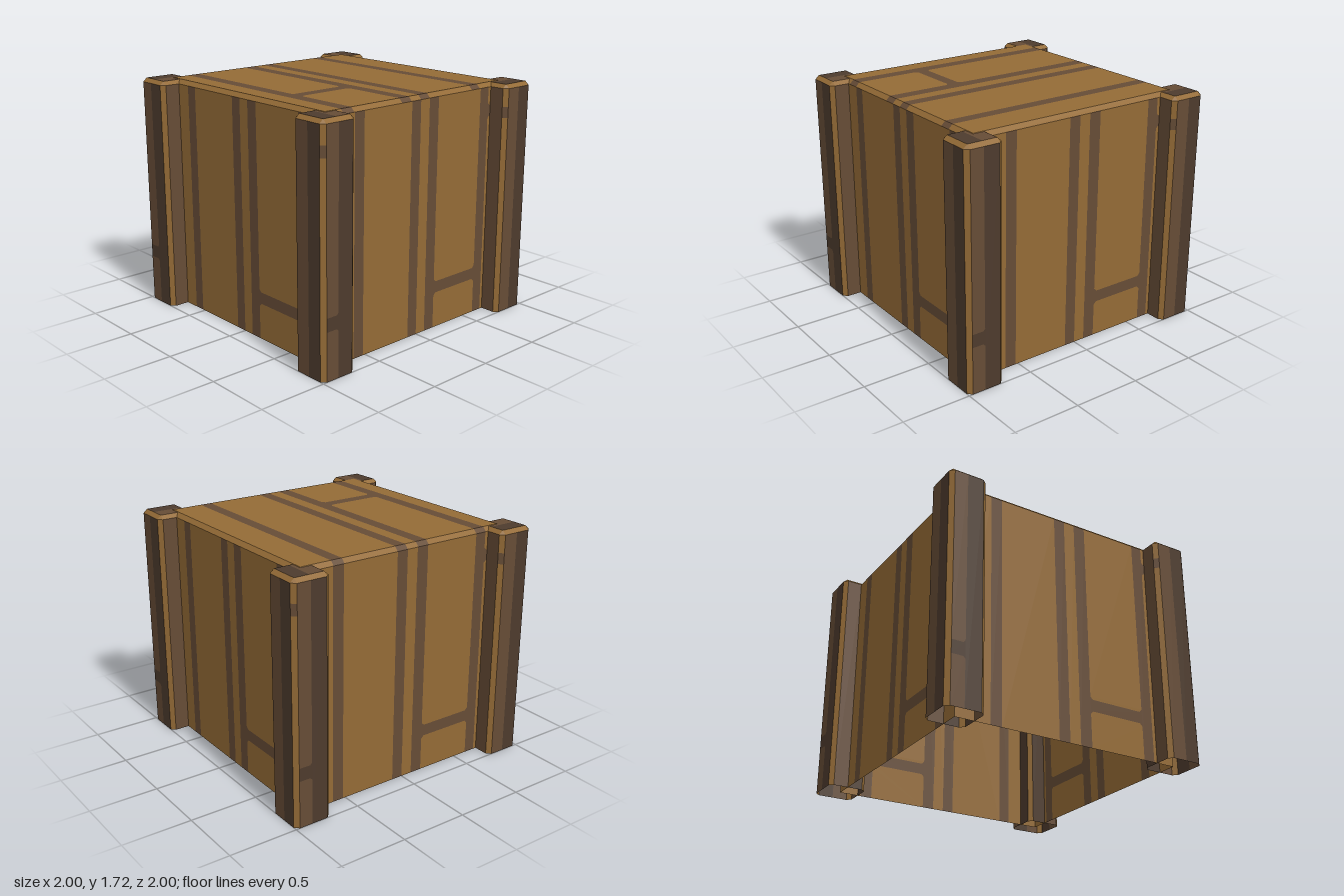
import * as THREE from 'three';
import { mergeGeometries } from 'three/addons/utils/BufferGeometryUtils.js';

const HALF = 0.86, FLAT = 0.83;      // body half width, half width of flat lid
const TOP = 1.72, RIM = 1.69;        // lid height, start of the top bevel
const P = 0.14, PI = 0.11;           // post half width, half width inside the chamfers

// Collects flat convex faces per colour and turns them into named meshes.
function makePart(name, mats) {
  const lists = {};
  const face = (colour, pts) => {
    const pos = [];
    for (let i = 1; i < pts.length - 1; i++) pos.push(...pts[0], ...pts[i], ...pts[i + 1]);
    const g = new THREE.BufferGeometry();
    g.setAttribute('position', new THREE.Float32BufferAttribute(pos, 3));
    g.computeVertexNormals();
    (lists[colour] ??= []).push(g);
  };
  const finish = () => {
    const group = new THREE.Group();
    group.name = name;
    for (const [colour, geos] of Object.entries(lists)) {
      const mesh = new THREE.Mesh(mergeGeometries(geos), mats[colour]);
      mesh.name = name + '_' + colour;
      group.add(mesh);
    }
    return group;
  };
  return { face, finish };
}

// Rectangle in a plane; "cut" trims the corners [bottom-left, bottom-right, top-right, top-left].
function panel(part, colour, place, u0, v0, u1, v1, cut = [0, 0, 0, 0]) {
  const [a, b, c, d] = cut, pts = [];
  const corner = (k, p, q) => (k ? pts.push(p, q) : pts.push(p));
  corner(a, [u0, v0 + a], [u0 + a, v0]);
  corner(b, [u1 - b, v0], [u1, v0 + b]);
  corner(c, [u1, v1 - c], [u1 - c, v1]);
  corner(d, [u0 + d, v1], [u0, v1 - d]);
  part.face(colour, pts.map(([u, v]) => place(u, v)));
}

// Column between two grooves, crossed by a bar whose inner corners are filled.
function barredPanel(part, wood, bar, place, u0, u1, v0, v1, b0, b1, cl, cr) {
  panel(part, wood, place, u0, v0, u1, b0, [0, 0, cr, cl]);
  panel(part, bar, place, u0, b0, u1, b1);
  panel(part, wood, place, u0, b1, u1, v1, [cl, cr, 0, 0]);
  for (const [u, c] of [[u0, cl], [u1, -cr]]) {
    if (!c) continue;
    const k = Math.abs(c);
    part.face(bar, [[u, b0], [u, b0 - k], [u + c, b0]].map(([x, y]) => place(x, y)));
    part.face(bar, [[u, b1], [u + c, b1], [u, b1 + k]].map(([x, y]) => place(x, y)));
  }
}

// One wall of planks with grooves between them
function makeWall(mats) {
  const part = makePart('wall', mats);
  const place = (x, y) => [x, y, HALF];
  const grooves = [[-0.605, -0.52], [-0.085, 0], [0.085, 0.175], [0.61, 0.695]];
  for (const [a, b] of grooves) panel(part, 'groove', place, a, 0, b, RIM);
  for (const [a, b] of [[-HALF, -0.605], [-0.52, -0.085], [0, 0.085]]) panel(part, 'wood', place, a, 0, b, RIM);
  barredPanel(part, 'wood', 'groove', place, 0.175, 0.61, 0, RIM, 0.265, 0.35, 0.02, 0.02);
  barredPanel(part, 'wood', 'groove', place, 0.695, HALF, 0, RIM, 1.48, 1.56, 0.015, 0);
  return part.finish();
}

// Lid with grooves that run over the front and back bevels
function makeLid(mats) {
  const part = makePart('lid', mats);
  const place = (x, v) => [x, TOP, -v];
  const edges = [-FLAT, -0.70, -0.61, -0.18, -0.09, 0, 0.085, 0.515, 0.6, FLAT];
  for (let i = 0; i < edges.length - 1; i++) {
    const a = edges[i], b = edges[i + 1];
    const colour = i % 2 ? 'groove' : 'wood';
    if (i === 2) barredPanel(part, 'wood', 'groove', place, a, b, -FLAT, FLAT, -0.345, -0.26, 0.02, 0.02);
    else panel(part, colour, place, a, -FLAT, b, FLAT);
    part.face(colour, [[a, RIM, HALF], [b, RIM, HALF], [b, TOP, FLAT], [a, TOP, FLAT]]);
    part.face(colour, [[b, RIM, -HALF], [a, RIM, -HALF], [a, TOP, -FLAT], [b, TOP, -FLAT]]);
  }
  for (const s of [-1, 1]) {
    const bevel = [[s * HALF, RIM, s * HALF], [s * HALF, RIM, -s * HALF], [s * FLAT, TOP, -s * FLAT], [s * FLAT, TOP, s * FLAT]];
    part.face('wood', bevel);
  }
  return part.finish();
}

// Hollow chamfered corner post, open at the bottom
function makePost(mats, outerBand) {
  const part = makePart('cornerPost', mats);
  const topY = TOP - 0.003;
  const front = (u, y) => [u, y, P];
  const right = (u, y) => [P, y, -u];
  const back = (u, y) => [-u, y, -P];
  const left = (u, y) => [-P, y, u];

  // Front face with a short crossbar, other faces in two tones
  barredPanel(part, 'groove', 'darkWood', front, -PI, -0.01, 0, RIM, 0.345, 0.44, 0, 0.015);
  panel(part, 'darkWood', front, -0.01, 0, PI, RIM);
  for (const [place, a, b] of [[left, 'groove', 'darkWood'], [right, 'groove', 'darkWood'], [back, 'darkWood', 'groove']]) {
    panel(part, a, place, -PI, 0, 0, RIM);
    panel(part, b, place, 0, 0, PI, RIM);
  }

  // Pale chamfers up the edges, some crossed by a band, and bevels round the top
  const corners = [[-1, 1, outerBand], [-1, -1, true], [1, 1, false], [1, -1, false]];
  for (const [sx, sz, band] of corners) {
    const flip = sx * sz > 0;
    const place = (t, y) => {
      const k = flip ? 1 - t : t;
      return [sx * (P + (PI - P) * k), y, sz * (PI + (P - PI) * k)];
    };
    if (band) barredPanel(part, 'wood', 'groove', place, 0, 1, 0, RIM, 1.48, 1.56, 0, 0);
    else panel(part, 'wood', place, 0, 0, 1, RIM);
    part.face('wood', [place(0, RIM), place(1, RIM), [sx * PI, topY, sz * PI]]);
  }
  for (const place of [front, right, back, left]) {
    const lift = (u) => {
      const [x, , z] = place(u, RIM);
      return [Math.max(-PI, Math.min(PI, x)), topY, Math.max(-PI, Math.min(PI, z))];
    };
    part.face('wood', [place(-PI, RIM), place(PI, RIM), lift(PI), lift(-PI)]);
  }
  const cap = (x, v) => [x, topY, -v];
  panel(part, 'darkWood', cap, -PI, -PI, 0, PI);
  panel(part, 'groove', cap, 0, -PI, PI, PI);
  return part.finish();
}

export function createModel() {
  const material = (name, color) => {
    const m = new THREE.MeshStandardMaterial({ color, side: THREE.DoubleSide });
    m.name = name;
    return m;
  };
  const mats = {
    wood: material('wood', 0x946b36),
    groove: material('groove', 0x664c36),
    darkWood: material('darkWood', 0x4d3b2d),
  };

  const crate = new THREE.Group();
  crate.name = 'crate';
  crate.add(makeLid(mats));

  // Four identical sides, each with the post at its left end
  for (let k = 0; k < 4; k++) {
    const side = new THREE.Group();
    side.name = 'side' + (k + 1);
    const post = makePost(mats, k % 2 === 0);
    post.position.set(-HALF, 0, HALF);
    side.add(makeWall(mats), post);
    side.rotation.y = k * Math.PI / 2;
    crate.add(side);
  }
  return crate;
}
